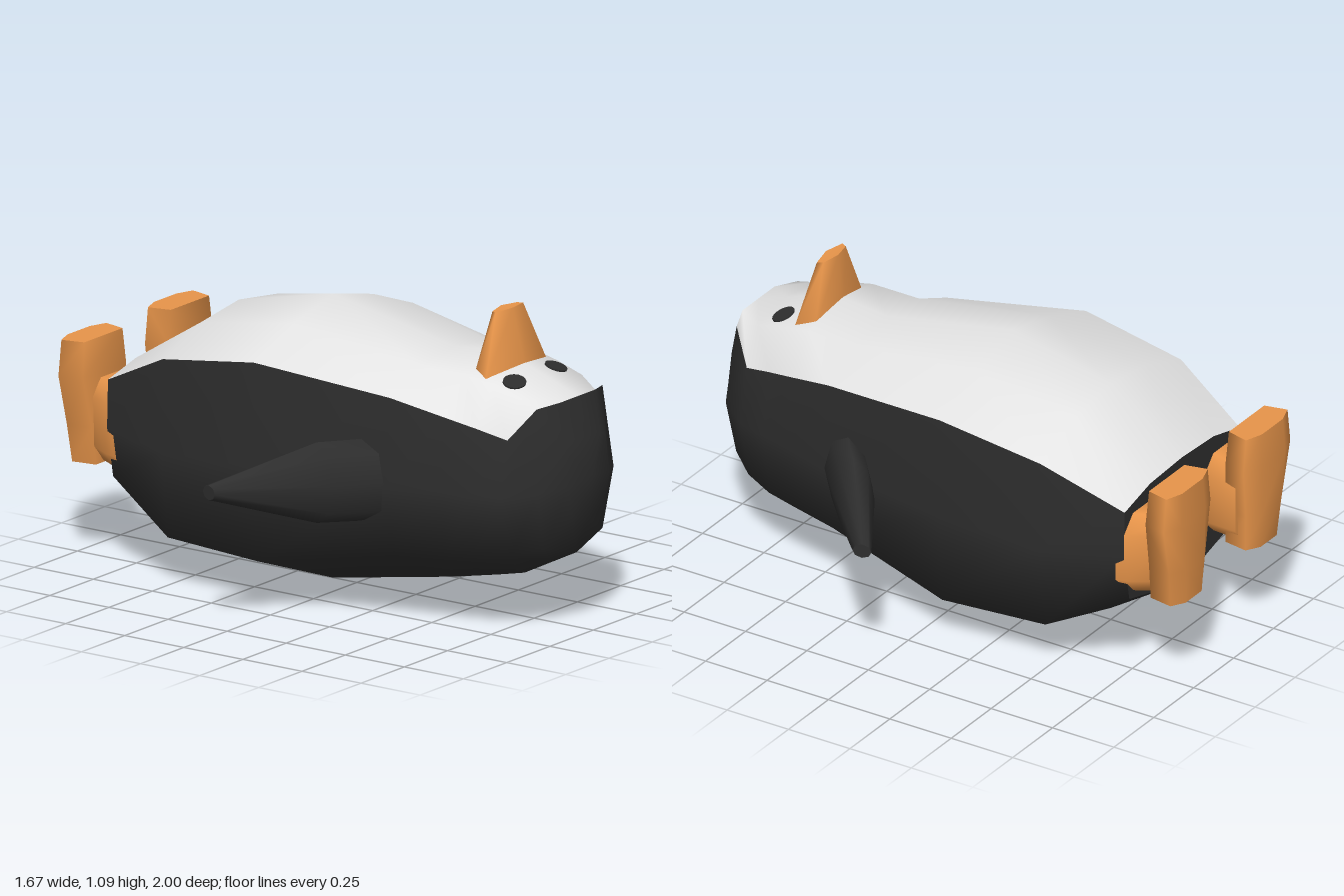
import * as THREE from 'three';
import { mergeVertices } from 'three/addons/utils/BufferGeometryUtils.js';

const mat = (name, color) => {
  const m = new THREE.MeshStandardMaterial({ color });
  m.name = name;
  return m;
};

// Skins rows of points; triangles are turned to face away from the given centre.
function skin(strips, centre, closed = false) {
  const pos = [];
  const c = new THREE.Vector3(...centre);
  for (const rows of strips) {
    const tris = [];
    const n = rows[0].length;
    for (let i = 0; i < rows.length - 1; i++) {
      for (let j = 0; j < (closed ? n : n - 1); j++) {
        const k = (j + 1) % n;
        const [a, b, d, e] = [rows[i][j], rows[i + 1][j], rows[i + 1][k], rows[i][k]];
        tris.push([a, b, d], [a, d, e]);
      }
    }
    let facing = 0;
    const vs = tris.map(t => t.map(p => new THREE.Vector3(...p)));
    const kept = vs.filter(([a, b, d]) => {
      const nrm = b.clone().sub(a).cross(d.clone().sub(a));
      facing += nrm.dot(a.clone().add(b).add(d).divideScalar(3).sub(c));
      return nrm.length() > 1e-9;
    });
    for (const [a, b, d] of kept)
      for (const v of facing > 0 ? [a, b, d] : [a, d, b]) pos.push(v.x, v.y, v.z);
  }
  const g = new THREE.BufferGeometry();
  g.setAttribute('position', new THREE.Float32BufferAttribute(pos, 3));
  const merged = mergeVertices(g, 1e-4);
  merged.computeVertexNormals();
  return merged;
}

const middle = ring => [0, 1, 2].map(k => ring.reduce((s, p) => s + p[k], 0) / ring.length);

// Closed loft with separate flat end caps, so the rims stay sharp.
function loft(name, rings, material) {
  const group = new THREE.Group();
  group.name = name;
  const centre = middle(rings.flat());
  const add = (part, g) => {
    const m = new THREE.Mesh(g, material);
    m.name = name + part;
    group.add(m);
  };
  add('Side', skin([rings], centre, true));
  for (const r of [rings[0], rings[rings.length - 1]])
    add('End', skin([[r, r.map(() => middle(r))]], centre, true));
  return group;
}

const mirror = (pts, s) => pts.map(r => r.map(([x, y, z]) => [s * x, y, z]));

export function createModel() {
  const model = new THREE.Group();
  const black = mat('black plumage', 0x2e2e2e);
  const white = mat('white belly', 0xe4e4e4);
  const orange = mat('orange', 0xe8954a);
  const add = (name, g, m) => {
    const mesh = new THREE.Mesh(g, m);
    mesh.name = name;
    model.add(mesh);
    return mesh;
  };

  // Body sections from tail to head: z, top y, upper, border, side, lower, bottom y
  const sections = [
    [-0.79, 0.72, [0.2, 0.71], [0.36, 0.67], [0.365, 0.5], [0.33, 0.32], 0.23],
    [-0.5, 0.92, [0.22, 0.89], [0.44, 0.81], [0.45, 0.48], [0.41, 0.17], 0.045],
    [-0.1, 1.01, [0.23, 0.955], [0.46, 0.87], [0.47, 0.5], [0.44, 0.16], 0],
    [0.41, 0.91, [0.2, 0.885], [0.37, 0.81], [0.4, 0.5], [0.34, 0.24], 0.09],
    [0.6, 0.925, [0.2, 0.885], [0.315, 0.76], [0.345, 0.5], [0.3, 0.25], 0.13],
    [0.71, 0.9, [0.19, 0.865], [0.28, 0.73], [0.32, 0.5], [0.28, 0.26], 0.155],
    [0.82, 0.862, [0.18, 0.835], [0.25, 0.7], [0.29, 0.5], [0.24, 0.28], 0.21],
  ];
  const halves = sections.map(([z, t, u, b, s, l, d]) =>
    [[0, t, z], [...u, z], [...b, z], [...s, z], [...l, z], [0, d, z]]);
  // Rounded crown of the head
  halves.push(
    [[0, 0.82, 0.935], [0.1, 0.82, 0.935], [0.19, 0.81, 0.9], [0.22, 0.52, 0.925], [0.17, 0.31, 0.915], [0, 0.265, 0.93]],
    [[0, 0.69, 0.98], [0.07, 0.685, 0.978], [0.12, 0.66, 0.965], [0.12, 0.53, 0.98], [0.09, 0.42, 0.975], [0, 0.39, 0.985]],
    Array.from({ length: 6 }, () => [0, 0.55, 1]));
  const flip = p => [-p[0], p[1], p[2]];
  const belly = halves.slice(0, 8).map(h => [h[2], h[1], h[0], flip(h[1]), flip(h[2])]);
  const back = halves.slice(0, 8).map(h => [h[2], h[3], h[4], h[5], flip(h[4]), flip(h[3]), flip(h[2])]);
  const full = h => [...h, ...h.slice(1, 5).reverse().map(flip)];
  const crown = halves.slice(7).map(h => [...full(h), h[0]]);
  const heart = [0, 0.5, 0];
  add('belly', skin([belly], heart), white);
  add('back', skin([back, crown], heart), black);
  const tailRing = full(halves[0]);
  add('tailEnd', skin([[tailRing, tailRing.map(() => [0, 0.5, -0.79])]], heart, true), black);

  // Beak: a flattened, tapering six-sided block
  const beakRing = (y, drop, w, wb, zf, zs, zb) => [
    [0, y, zf], [w, y - drop, zs], [wb, y - drop, zb + 0.015], [0, y, zb],
    [-wb, y - drop, zb + 0.015], [-w, y - drop, zs]];
  model.add(loft('beak', [
    beakRing(0.88, 0.02, 0.18, 0.155, 0.715, 0.675, 0.59),
    beakRing(1.088, 0.003, 0.08, 0.07, 0.66, 0.645, 0.61)], orange));

  for (const s of [1, -1]) {
    const side = s > 0 ? 'left' : 'right';

    // Eye: thin disc lying on the sloping face
    const eye = add(side + 'Eye', new THREE.CylinderGeometry(0.045, 0.045, 0.006, 16), black);
    eye.scale.z = 0.85;
    eye.position.set(s * 0.12, 0.868, 0.755);
    eye.quaternion.setFromUnitVectors(new THREE.Vector3(0, 1, 0),
      new THREE.Vector3(s * 0.17, 1, 0.33).normalize());

    // Flipper: eight-sided sections between a front and a back edge
    const wingRing = ([fx, fz], [bx, bz], y, h) => Array.from({ length: 8 }, (_, i) => {
      const a = i * Math.PI / 4;
      const t = 0.5 - Math.cos(a) / 2;
      return [fx + (bx - fx) * t, y + h * Math.sin(a), fz + (bz - fz) * t];
    });
    const wing = [
      wingRing([0.33, 0.44], [0.34, 0.26], 0.51, 0.145),
      wingRing([0.41, 0.4], [0.42, 0.2], 0.51, 0.145),
      wingRing([0.53, 0.29], [0.51, 0.13], 0.51, 0.143),
      wingRing([0.835, 0.01], [0.815, 0.055 * -1], 0.505, 0.026)];
    model.add(loft(side + 'Flipper', mirror(wing, s), black));

    // Leg: short tapering stump running back from the body
    const legRing = (z, x0, x1, y0, y1) => {
      const cx = (x1 - x0) * 0.25, cy = (y1 - y0) * 0.2;
      return [[x0 + cx, y0, z], [x1 - cx, y0, z], [x1, y0 + cy, z], [x1, y1 - cy, z],
        [x1 - cx, y1, z], [x0 + cx, y1, z], [x0, y1 - cy, z], [x0, y0 + cy, z]];
    };
    const leg = [legRing(-0.76, 0.14, 0.37, 0.345, 0.645), legRing(-0.8, 0.14, 0.36, 0.345, 0.645),
      legRing(-0.93, 0.12, 0.3, 0.36, 0.64)];
    model.add(loft(side + 'Leg', mirror(leg, s), orange));

    // Foot: upright six-sided paddle, widest near the toes
    const footRing = (y, x, w, z0, z1) => {
      const zm = (z0 + z1) / 2;
      return [[x - w, y, zm - 0.03], [x - w * 0.5, y, z0], [x + w * 0.5, y, z0], [x + w, y, zm - 0.03],
        [x + w * 0.85, y, z1], [x - w * 0.85, y, z1]];
    };
    const foot = [footRing(0.345, 0.235, 0.1, -0.99, -0.87), footRing(0.48, 0.24, 0.115, -1, -0.875),
      footRing(0.66, 0.25, 0.147, -1, -0.885), footRing(0.785, 0.25, 0.13, -0.995, -0.89)];
    model.add(loft(side + 'Foot', mirror(foot, s), orange));
  }
  return model;
}
